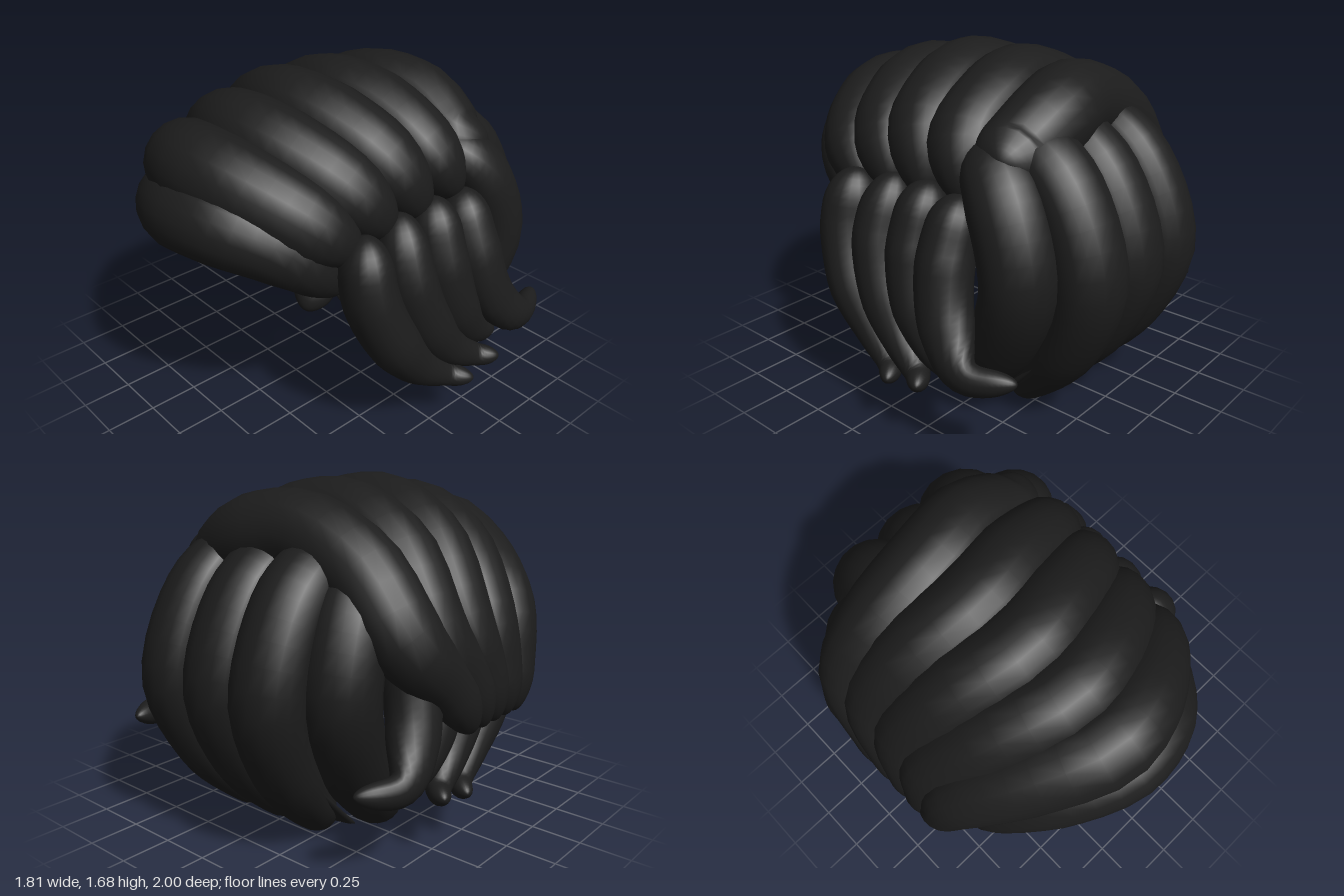
import * as THREE from 'three';

const material = new THREE.MeshStandardMaterial({ color: 0x1c1c1c, side: THREE.DoubleSide });
const HEAD = new THREE.Vector3(0, 0.75, 0);
const RINGS = 36, SIDES = 18;
const lerp = THREE.MathUtils.lerp;

// A closed lock of hair: points are [x, y, z, halfWidth, halfThickness], wide side facing away from the head.
function strand(name, points, mirror = 1) {
  const curve = new THREE.CatmullRomCurve3(points.map(p => new THREE.Vector3(p[0] * mirror, p[1], p[2])), false, 'centripetal');
  const positions = [], index = [];
  for (let i = 0; i <= RINGS; i++) {
    const t = (1 - Math.cos(Math.PI * i / RINGS)) / 2;
    const c = curve.getPoint(t), T = curve.getTangent(t);
    const N = c.clone().sub(HEAD);
    N.addScaledVector(T, -N.dot(T)).normalize();
    const U = N.clone().cross(T);
    // widths follow the control points; both ends are rounded off
    const f = t * (points.length - 1), k = Math.min(Math.floor(f), points.length - 2);
    const e = Math.min(1, Math.min(t, 1 - t) / 0.12);
    const round = Math.max(0.01, Math.sqrt(1 - (1 - e) ** 2));
    const w = lerp(points[k][3], points[k + 1][3], f - k) * round;
    const h = lerp(points[k][4], points[k + 1][4], f - k) * round;
    for (let j = 0; j < SIDES; j++) {
      const a = j / SIDES * Math.PI * 2;
      const v = c.clone().addScaledVector(U, Math.cos(a) * w).addScaledVector(N, Math.sin(a) * h);
      positions.push(v.x, v.y, v.z);
      if (i < RINGS) {
        const n = (j + 1) % SIDES, r = i * SIDES, s = r + SIDES;
        index.push(r + j, r + n, s + n, r + j, s + n, s + j);
      }
    }
  }
  const g = new THREE.BufferGeometry();
  g.setAttribute('position', new THREE.Float32BufferAttribute(positions, 3));
  g.setIndex(index);
  g.computeVertexNormals();
  const mesh = new THREE.Mesh(g, material);
  mesh.name = name;
  return mesh;
}

export function createModel() {
  const group = new THREE.Group();
  group.name = 'hair';

  // Top locks, swept from the parting on +x over to -x, back to front
  const tops = [ // start y, start z, crown y, crown z, side z, end z
    [1.30, -0.52, 1.43, -0.43, -0.42, -0.06],
    [1.08, -0.32, 1.465, -0.12, -0.23, 0.04],
    [1.05, -0.10, 1.47, 0.18, 0.00, 0.13],
    [1.04, 0.12, 1.415, 0.46, 0.21, 0.22],
    [1.00, 0.33, 1.33, 0.72, 0.40, 0.30],
  ];
  tops.forEach(([sy, sz, my, mz, bz, ez], i) => group.add(strand('topLock' + (i + 1), [
    [0.56, sy, sz, 0.13, 0.12],
    [0.42, my - 0.14, lerp(sz, mz, 0.52), 0.18, 0.16],
    [0.16, my - 0.03, mz - 0.05, 0.205, 0.20],
    [-0.10, my, mz, 0.21, 0.205],
    [-0.45, my - 0.13, lerp(mz, bz, 0.5), 0.20, 0.19],
    [-0.70, 1.03, bz, 0.18, 0.15],
    [-0.79, 0.78, lerp(bz, ez, 0.6), 0.13, 0.11],
    [-0.83, 0.55, ez, 0.10, 0.08],
  ])));

  // Fringe across the forehead
  group.add(strand('fringe', [
    [0.47, 0.79, 0.36, 0.10, 0.10],
    [0.40, 1.05, 0.60, 0.16, 0.15],
    [0.18, 1.16, 0.79, 0.18, 0.17],
    [-0.08, 1.16, 0.83, 0.185, 0.17],
    [-0.40, 1.05, 0.69, 0.17, 0.16],
    [-0.60, 0.82, 0.52, 0.12, 0.13],
    [-0.68, 0.54, 0.40, 0.08, 0.08],
  ]));

  // Side locks, curving back to flicked tips, on both sides
  const sides = [
    [[0.58, 1.12, 0.34, 0.12, 0.13], [0.63, 0.83, 0.34, 0.135, 0.155], [0.69, 0.57, 0.24, 0.13, 0.145],
      [0.72, 0.38, 0.09, 0.10, 0.10], [0.78, 0.28, -0.06, 0.06, 0.06], [0.88, 0.27, -0.14, 0.04, 0.04]],
    [[0.55, 1.14, 0.10, 0.12, 0.12], [0.64, 0.83, 0.11, 0.135, 0.15], [0.70, 0.57, 0.02, 0.13, 0.13],
      [0.73, 0.40, -0.11, 0.10, 0.10], [0.79, 0.31, -0.25, 0.06, 0.06], [0.88, 0.31, -0.33, 0.04, 0.04]],
    [[0.55, 1.15, -0.12, 0.12, 0.12], [0.64, 0.83, -0.11, 0.135, 0.15], [0.69, 0.58, -0.18, 0.13, 0.13],
      [0.70, 0.42, -0.30, 0.10, 0.10], [0.72, 0.33, -0.47, 0.05, 0.05]],
    [[0.55, 1.13, -0.32, 0.12, 0.12], [0.67, 0.83, -0.32, 0.135, 0.14], [0.75, 0.58, -0.40, 0.13, 0.11],
      [0.81, 0.43, -0.55, 0.09, 0.07], [0.73, 0.44, -0.78, 0.045, 0.045]],
  ];
  // Back locks, bulging out behind and tucking in at the nape
  const middle = [[0, 1.38, -0.40, 0.16, 0.13], [0, 1.18, -0.68, 0.175, 0.15], [0, 0.77, -0.84, 0.18, 0.16],
    [0, 0.38, -0.70, 0.165, 0.14], [0, 0.15, -0.52, 0.13, 0.10], [0, 0.01, -0.40, 0.07, 0.06]];
  const inner = middle.map((p, i) => [[0.28, 0.30, 0.31, 0.28, 0.25, 0.22][i], ...p.slice(1)]);
  const outer = [[0.42, 1.34, -0.32, 0.14, 0.12], [0.51, 1.12, -0.53, 0.18, 0.15], [0.535, 0.77, -0.63, 0.18, 0.16],
    [0.48, 0.40, -0.47, 0.17, 0.14], [0.43, 0.16, -0.27, 0.14, 0.11], [0.38, 0.03, -0.13, 0.09, 0.08]];

  const lower = new THREE.Group();
  lower.name = 'sideAndBackLocks';
  lower.position.x = 0.015;
  for (const [label, m] of [['left', 1], ['right', -1]]) {
    sides.forEach((p, i) => lower.add(strand(label + 'SideLock' + (i + 1), p, m)));
    lower.add(strand(label + 'InnerBackLock', inner, m), strand(label + 'OuterBackLock', outer, m));
  }
  lower.add(strand('middleBackLock', middle));

  // Thin sheet joining the back locks at the nape
  lower.add(strand('napeSheet', [[0, 0.62, -0.82, 0.36, 0.03], [0, 0.42, -0.71, 0.42, 0.03],
    [0, 0.20, -0.52, 0.42, 0.035], [0, 0.01, -0.33, 0.42, 0.03]]));
  group.add(lower);

  return group;
}
